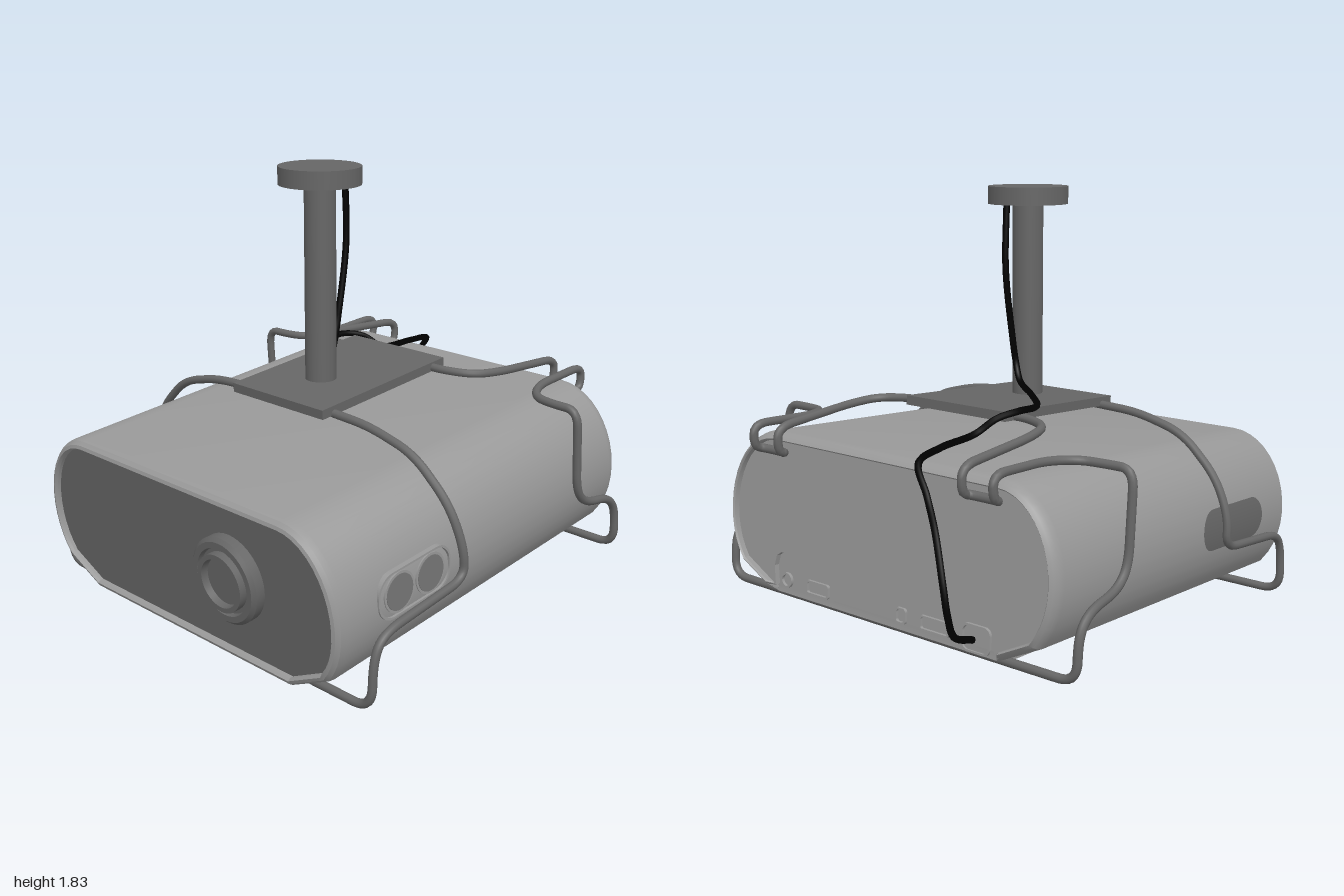
import * as THREE from 'three';
import { toCreasedNormals } from 'three/addons/utils/BufferGeometryUtils.js';

const mat = (name, color) => {
  const m = new THREE.MeshStandardMaterial({ color });
  m.name = name;
  return m;
};
const V = (p) => new THREE.Vector3(...p);

export function createModel() {
  const shellGrey = mat('shell grey', 0x999999);
  const sensorGrey = mat('sensor grey', 0x777777);
  const mountGrey = mat('mount grey', 0x666666);
  const black = mat('cable black', 0x000000);

  const root = new THREE.Group();
  const add = (parent, name, geo, material, x = 0, y = 0, z = 0) => {
    const m = new THREE.Mesh(geo, material);
    m.name = name;
    m.position.set(x, y, z);
    parent.add(m);
    return m;
  };

  // Tilted projector body
  const body = new THREE.Group();
  body.name = 'projector';
  body.position.set(-0.05, 0.43, 0);
  body.rotation.z = 0.077;
  root.add(body);

  // Cross-section: flat top and bottom, elliptical sides, straight lower chamfer; [z, y] points
  const section = (inset) => {
    const pts = [], n = 20, rx = 0.28 - inset;
    for (const s of [1, -1]) {
      for (let i = 0; i <= n; i++) {
        const k = s > 0 ? i : n - i;
        const a = -Math.PI / 2 + (Math.PI * k) / n;
        const t = k / 5;
        const c = k < 5 ? t * Math.SQRT1_2 : Math.cos(a);
        const u = k < 5 ? -1 + t * (1 - Math.SQRT1_2) : Math.sin(a);
        pts.push([s * (0.59 + rx * c), u * ((u > 0 ? 0.357 : 0.338) - inset)]);
      }
    }
    return pts;
  };

  // Shell lofted along x, rims rolled into both ends; the +x rim is cut back below the ports
  const rings = [
    [-0.85, 0.04], [-0.885, 0.04], [-0.897, 0.032], [-0.892, 0.018], [-0.875, 0.005], [-0.85, 0],
    [0.84, 0], [0.865, 0.005], [0.885, 0.016], [0.897, 0.03], [0.89, 0.036], [0.86, 0.038],
  ];
  const pos = [], idx = [];
  rings.forEach(([x, inset], k) => {
    const s = section(inset), n = s.length;
    s.forEach(([z, y], j) => {
      const cut = y < -0.2 && Math.abs(z) < 0.6;
      pos.push(cut ? Math.min(x, 0.85) : x, y, z);
      if (k === rings.length - 1) return;
      const a = k * n + j, b = k * n + ((j + 1) % n);
      idx.push(a, a + n, b, b, a + n, b + n);
    });
  });
  const loft = new THREE.BufferGeometry();
  loft.setAttribute('position', new THREE.Float32BufferAttribute(pos, 3));
  loft.setIndex(idx);
  add(body, 'shell', toCreasedNormals(loft, 0.4), shellGrey);

  // End panels; the port panel has a notch for the port bay
  const endShape = (notch) => new THREE.Shape(
    [...section(0.036), ...notch].map(([z, y]) => new THREE.Vector2(z, y)));
  add(body, 'lensPanel', new THREE.ShapeGeometry(endShape([])).rotateY(-Math.PI / 2), mountGrey, -0.87);
  const notch = [[-0.6, -0.22], [-0.588, -0.175], [-0.56, -0.155], [0.56, -0.155], [0.588, -0.175], [0.6, -0.22]];
  add(body, 'portPanel', new THREE.ExtrudeGeometry(endShape(notch), { depth: 0.03, bevelEnabled: false })
    .rotateY(Math.PI / 2), shellGrey, 0.838);
  add(body, 'portBay', new THREE.BoxGeometry(0.01, 0.18, 1.2), shellGrey, 0.84, -0.24, 0);

  // Base plate
  add(body, 'base', new THREE.BoxGeometry(1.55, 0.034, 1.16), shellGrey, 0.01, -0.345, 0);

  // Lens barrel and glass facing -x
  const barrel = new THREE.LatheGeometry(
    [[0.18, 0], [0.18, 0.04], [0.165, 0.055], [0.14, 0.055], [0.135, 0.035], [0.12, 0.035],
      [0.12, 0.07], [0.1, 0.07], [0.095, 0.03]].map(([r, y]) => new THREE.Vector2(r, y)), 40);
  add(body, 'lensBarrel', toCreasedNormals(barrel.rotateZ(Math.PI / 2), 0.5), mountGrey, -0.87, 0.02, 0.29);
  add(body, 'lensGlass', new THREE.CylinderGeometry(0.098, 0.098, 0.04, 32).rotateZ(Math.PI / 2),
    mountGrey, -0.89, 0.02, 0.29);

  // Rounded rectangular frame
  const roundRect = (w, h, r, Kind) => {
    const s = new Kind(), x = w / 2 - r, y = h / 2 - r, q = Math.PI / 2;
    s.absarc(x, y, r, 0, q);
    s.absarc(-x, y, r, q, 2 * q);
    s.absarc(-x, -y, r, 2 * q, 3 * q);
    s.absarc(x, -y, r, 3 * q, 4 * q);
    s.closePath();
    return s;
  };
  const frame = (w, h, r, depth, edge) => {
    const s = roundRect(w, h, r, THREE.Shape);
    s.holes.push(roundRect(w - 2 * edge, h - 2 * edge, r - edge / 2, THREE.Path));
    return new THREE.ExtrudeGeometry(s, { depth, bevelEnabled: false, curveSegments: 8 });
  };

  // Sensor pair on the front side
  add(body, 'sensorBayRim', frame(0.41, 0.19, 0.08, 0.022, 0.008), shellGrey, -0.48, 0.028, 0.854);
  for (const s of [-1, 1]) {
    const x = -0.48 + s * 0.088;
    add(body, 'sensorRing', new THREE.CylinderGeometry(0.083, 0.083, 0.006, 32).rotateX(Math.PI / 2),
      shellGrey, x, 0.028, 0.871);
    add(body, 'sensor', new THREE.CylinderGeometry(0.073, 0.073, 0.006, 32).rotateX(Math.PI / 2),
      sensorGrey, x, 0.028, 0.873);
  }

  // Pill-shaped grille on the back, laid on the curved side
  const grille = new THREE.PlaneGeometry(2, 2, 1, 24);
  const gp = grille.attributes.position;
  for (let i = 0; i < gp.count; i++) {
    const a = gp.getY(i) * Math.PI / 2, y = 0.028 + 0.088 * Math.sin(a);
    const ry = y > 0 ? 0.357 : 0.338;
    const z = 0.59 + 0.28 * Math.sqrt(1 - (y / ry) ** 2) + 0.003;
    gp.setXYZ(i, gp.getX(i) * (0.17 + 0.088 * Math.cos(a)), y, z);
  }
  grille.scale(-1, 1, -1);
  grille.computeVertexNormals();
  add(body, 'grille', grille, mountGrey, -0.4);

  // Port frames on the bay floor
  const ports = [[0.54, 0.065, 0.065, 0.032], [0.355, 0.13, 0.06, 0.012], [-0.11, 0.055, 0.065, 0.015],
    [-0.285, 0.15, 0.06, 0.012], [-0.49, 0.14, 0.11, 0.03]];
  for (const [z, w, h, r] of ports) {
    add(body, 'portRim', frame(w, h, r, 0.014, 0.008).rotateY(Math.PI / 2), shellGrey, 0.844, -0.275, z);
  }

  // Ceiling mount
  const tray = add(root, 'mountPlate', new THREE.BoxGeometry(0.76, 0.04, 0.53), mountGrey, -0.02, 0.926, 0);
  tray.rotation.z = 0.077;
  add(root, 'pole', new THREE.CylinderGeometry(0.066, 0.066, 0.84, 32), mountGrey, -0.145, 1.36, 0.007);
  add(root, 'ceilingDisc', new THREE.CylinderGeometry(0.172, 0.172, 0.075, 40), mountGrey, -0.145, 1.802, 0.007);

  // Bent wire: straight runs joined by rounded corners
  const bentWire = (points, radius) => {
    const path = new THREE.CurvePath(), p = points.map(V);
    let last = p[0];
    for (let i = 1; i < p.length - 1; i++) {
      const cut = (q) => p[i].clone().lerp(q, Math.min(0.48, radius / p[i].distanceTo(q)));
      const a = cut(p[i - 1]), b = cut(p[i + 1]);
      path.add(new THREE.LineCurve3(last, a));
      path.add(new THREE.QuadraticBezierCurve3(a, p[i], b));
      last = b;
    }
    path.add(new THREE.LineCurve3(last, p[p.length - 1]));
    return new THREE.TubeGeometry(path, 200, 0.018, 10);
  };
  const lensEndWire = [
    [-0.33, 0.89, 0.2], [-0.33, 0.88, 0.45], [-0.325, 0.82, 0.68], [-0.315, 0.66, 0.85],
    [-0.305, 0.5, 0.92], [-0.295, 0.37, 0.92], [-0.75, 0.315, 0.92], [-0.81, 0.24, 0.92],
    [-0.82, 0.03, 0.92], [-0.82, 0.03, 0],
  ];
  const portEndWire = [
    [0.29, 0.945, 0.2], [0.285, 0.945, 0.32], [0.34, 0.94, 0.45], [0.48, 0.93, 0.485], [0.89, 0.9, 0.485],
    [0.89, 0.8, 0.485], [0.84, 0.785, 0.485], [0.84, 0.785, 0.63], [0.89, 0.8, 0.63], [0.89, 0.895, 0.63],
    [0.57, 0.878, 0.625], [0.45, 0.868, 0.69], [0.43, 0.865, 0.8], [0.43, 0.865, 0.92],
    [0.455, 0.5, 0.92], [0.53, 0.425, 0.92], [0.7, 0.4, 0.92], [0.77, 0.33, 0.92],
    [0.78, 0.15, 0.92], [0.78, 0.15, 0],
  ];
  for (const s of [1, -1]) {
    const mirror = (pts) => pts.map(([x, y, z]) => [x, y, s * z]);
    add(root, 'lensEndWire', bentWire(mirror(lensEndWire), 0.09), mountGrey);
    add(root, 'portEndWire', bentWire(mirror(portEndWire), 0.08), mountGrey);
  }

  // Power cable from ceiling disc to socket
  const cable = new THREE.CatmullRomCurve3([
    [0.005, 1.78, 0.005], [0.012, 1.5, 0.005], [-0.035, 1.2, 0.005], [-0.055, 1.08, 0], [-0.03, 1.015, -0.04],
    [0.05, 0.985, -0.16], [0.2, 0.975, -0.3], [0.33, 0.98, -0.31], [0.42, 0.96, -0.27],
    [0.49, 0.905, -0.22], [0.7, 0.89, -0.22], [0.86, 0.865, -0.25], [0.915, 0.77, -0.34],
    [0.93, 0.65, -0.39], [0.98, 0.47, -0.47], [0.98, 0.36, -0.49], [0.945, 0.27, -0.49], [0.84, 0.225, -0.49],
  ].map(V), false, 'centripetal');
  add(root, 'powerCable', new THREE.TubeGeometry(cable, 160, 0.014, 8), black);

  return root;
}
